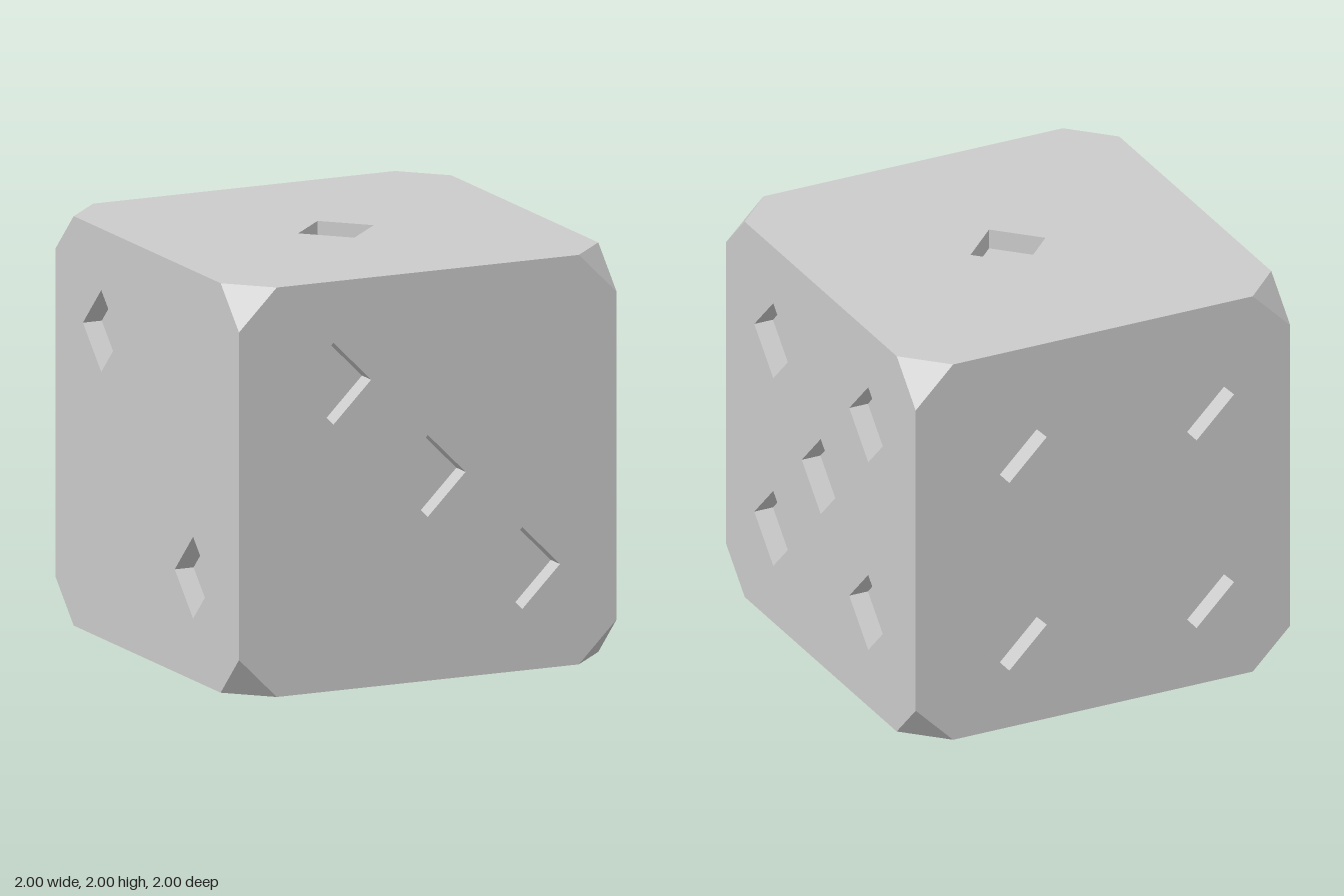
import * as THREE from 'three';
import { mergeGeometries } from 'three/addons/utils/BufferGeometryUtils.js';

const CUT = 0.2;    // corner chamfer, measured along the edges
const PIP = 0.2;    // half diagonal of a pip
const DEPTH = 0.1;  // pip depth

const material = new THREE.MeshStandardMaterial({ color: 0xcccccc, flatShading: true });

// Octagonal face with diamond holes, facing +z at z = 1
function facePlate(pips) {
  const c = 1 - CUT;
  const shape = new THREE.Shape([[c, -1], [1, -c], [1, c], [c, 1], [-c, 1], [-1, c], [-1, -c], [-c, -1]]
    .map(([x, y]) => new THREE.Vector2(x, y)));
  for (const [x, y] of pips) {
    shape.holes.push(new THREE.Path([[PIP, 0], [0, -PIP], [-PIP, 0], [0, PIP]]
      .map(([dx, dy]) => new THREE.Vector2(x + dx, y + dy))));
  }
  return new THREE.ShapeGeometry(shape).translate(0, 0, 1);
}

// Diamond recess: inward-facing walls and a flat floor
function pipRecess(x, y) {
  const walls = new THREE.CylinderGeometry(PIP, PIP, DEPTH, 4, 1, true)
    .rotateX(Math.PI / 2).scale(-1, 1, 1).translate(x, y, 1 - DEPTH / 2);
  const floor = new THREE.CircleGeometry(PIP, 4).translate(x, y, 1 - DEPTH);
  const recess = mergeGeometries([walls.toNonIndexed(), floor.toNonIndexed()]);
  recess.computeVertexNormals();
  return recess;
}

// Triangle closing one cut corner
function cornerCut(sx, sy, sz) {
  const c = 1 - CUT;
  const p = [[c * sx, sy, sz], [sx, c * sy, sz], [sx, sy, c * sz]];
  if (sx * sy * sz < 0) p.reverse();
  const geo = new THREE.BufferGeometry();
  geo.setAttribute('position', new THREE.Float32BufferAttribute(p.flat(), 3));
  geo.computeVertexNormals();
  return geo;
}

export function createModel() {
  const model = new THREE.Group();
  model.name = 'die';
  const body = new THREE.Group();
  body.name = 'body';
  body.position.y = 1;
  model.add(body);

  const q = Math.PI / 2, h = 0.5;
  const two = [[-h, h], [h, -h]];
  const four = [...two, [h, h], [-h, -h]];
  const faces = [
    ['topFace', -q, 0, [[0, 0]]],
    ['rightSideFace', 0, -q, two],
    ['frontFace', 0, 0, [...two, [0, 0]]],
    ['backFace', 0, 2 * q, four],
    ['leftSideFace', 0, q, [...four, [0, 0]]],
    ['bottomFace', q, 0, [...four, [-h, 0], [h, 0]]],
  ];
  for (const [name, rx, ry, pips] of faces) {
    const face = new THREE.Group();
    face.name = name;
    face.rotation.set(rx, ry, 0);
    const plate = new THREE.Mesh(facePlate(pips), material);
    plate.name = 'plate';
    const recesses = new THREE.Mesh(mergeGeometries(pips.map(([x, y]) => pipRecess(x, y))), material);
    recesses.name = 'pips';
    face.add(plate, recesses);
    body.add(face);
  }

  // Eight cut corners
  const cuts = [];
  for (const sx of [-1, 1]) for (const sy of [-1, 1]) for (const sz of [-1, 1]) cuts.push(cornerCut(sx, sy, sz));
  const corners = new THREE.Mesh(mergeGeometries(cuts), material);
  corners.name = 'cutCorners';
  body.add(corners);

  return model;
}
